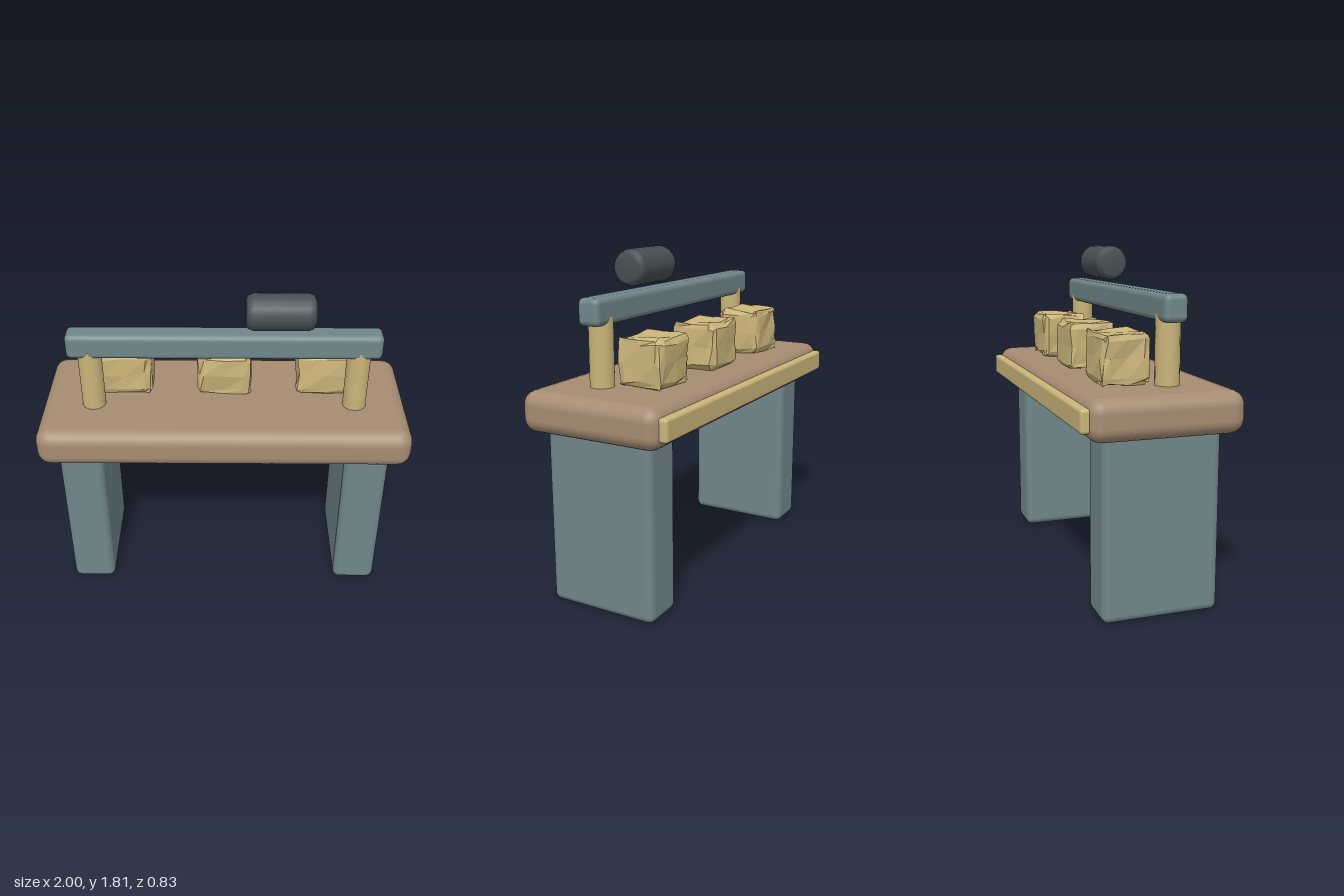
import * as THREE from 'three';
import { RoundedBoxGeometry } from 'three/addons/geometries/RoundedBoxGeometry.js';

const material = (color, flatShading = false) => new THREE.MeshStandardMaterial({ color, flatShading });
const steel = material(0x70868a);
const wood = material(0xa68c72);
const gold = material(0xcbb57a);
const nugget = material(0xcbb57a, true);
const dark = material(0x465054);

export function createModel() {
  const group = new THREE.Group();

  const add = (name, geometry, mat, x, y, z) => {
    const mesh = new THREE.Mesh(geometry, mat);
    mesh.name = name;
    mesh.position.set(x, y, z);
    group.add(mesh);
    return mesh;
  };
  // Rounded box given by its extents on each axis
  const slab = (name, mat, [x0, x1], [y0, y1], [z0, z1], radius) =>
    add(name, new RoundedBoxGeometry(x1 - x0, y1 - y0, z1 - z0, 3, radius), mat,
      (x0 + x1) / 2, (y0 + y1) / 2, (z0 + z1) / 2);

  // Bench top with a trim strip along the back
  slab('benchTop', wood, [-1, 1], [0.93, 1.145], [-0.385, 0.415], 0.075);
  slab('backTrim', gold, [-0.96, 0.96], [0.98, 1.1], [-0.42, -0.365], 0.018);

  // Slab legs and rail posts, mirrored
  for (const side of [-1, 1]) {
    const prefix = side > 0 ? 'left' : 'right';
    const xs = side > 0 ? [0.66, 0.9] : [-0.9, -0.66];
    slab(prefix + 'Leg', steel, xs, [0, 0.97], [-0.29, 0.325], 0.04);
    add(prefix + 'Post', new THREE.CylinderGeometry(0.064, 0.064, 0.39, 16), gold, side * 0.71, 1.305, 0.107);
  }

  // Rail across the posts
  slab('rail', steel, [-0.825, 0.825], [1.46, 1.6], [0.045, 0.17], 0.03);

  // Roller above the rail: bevelled cylinder lying along x
  const profile = [[0, -0.18], [0.065, -0.18], [0.087, -0.168], [0.097, -0.14],
    [0.097, 0.14], [0.087, 0.168], [0.065, 0.18], [0, 0.18]].map(([r, y]) => new THREE.Vector2(r, y));
  add('roller', new THREE.LatheGeometry(profile, 20), dark, 0.29, 1.715, 0.107).rotation.z = -Math.PI / 2;

  // Three rough-cut blocks in a row
  [-0.548, 0, 0.546].forEach((x, i) =>
    add('roughBlock' + (i + 1), roughBlock(0.305, 0.272, 0.268, i + 1), nugget, x, 1.275, -0.098));

  return group;
}

// Rounded box whose vertices are pushed inward by a repeatable amount
function roughBlock(w, h, d, seed) {
  const geometry = new THREE.BoxGeometry(w, h, d, 4, 4, 4);
  const pos = geometry.attributes.position;
  const half = new THREE.Vector3(w, h, d).multiplyScalar(0.5);
  const radius = 0.04;
  const core = half.clone().subScalar(radius);
  const p = new THREE.Vector3(), inner = new THREE.Vector3();
  const noise = (v, k) => {
    const s = Math.sin(v.x * 127.1 + v.y * 311.7 + v.z * 74.7 + seed * 19.3 + k * 53.9) * 43758.5453;
    return s - Math.floor(s);
  };
  for (let i = 0; i < pos.count; i++) {
    p.fromBufferAttribute(pos, i);
    // Snap so that shared corners receive the same noise
    const key = p.clone().multiplyScalar(1000).round().divideScalar(100);
    // Move the outer rings close to the edges, then round them
    for (const axis of ['x', 'y', 'z']) {
      const t = p[axis] / half[axis];
      if (Math.abs(Math.abs(t) - 0.5) < 0.01) p[axis] = Math.sign(t) * core[axis];
    }
    inner.copy(p).clamp(core.clone().negate(), core);
    p.sub(inner).normalize().multiplyScalar(radius - 0.012 * noise(key, 0)).add(inner);
    p.x += (noise(key, 1) - 0.5) * 0.02;
    p.y += (noise(key, 2) - 0.5) * 0.02;
    p.z += (noise(key, 3) - 0.5) * 0.02;
    p.clamp(half.clone().negate(), half);
    pos.setXYZ(i, p.x, p.y, p.z);
  }
  geometry.computeVertexNormals();
  return geometry;
}
